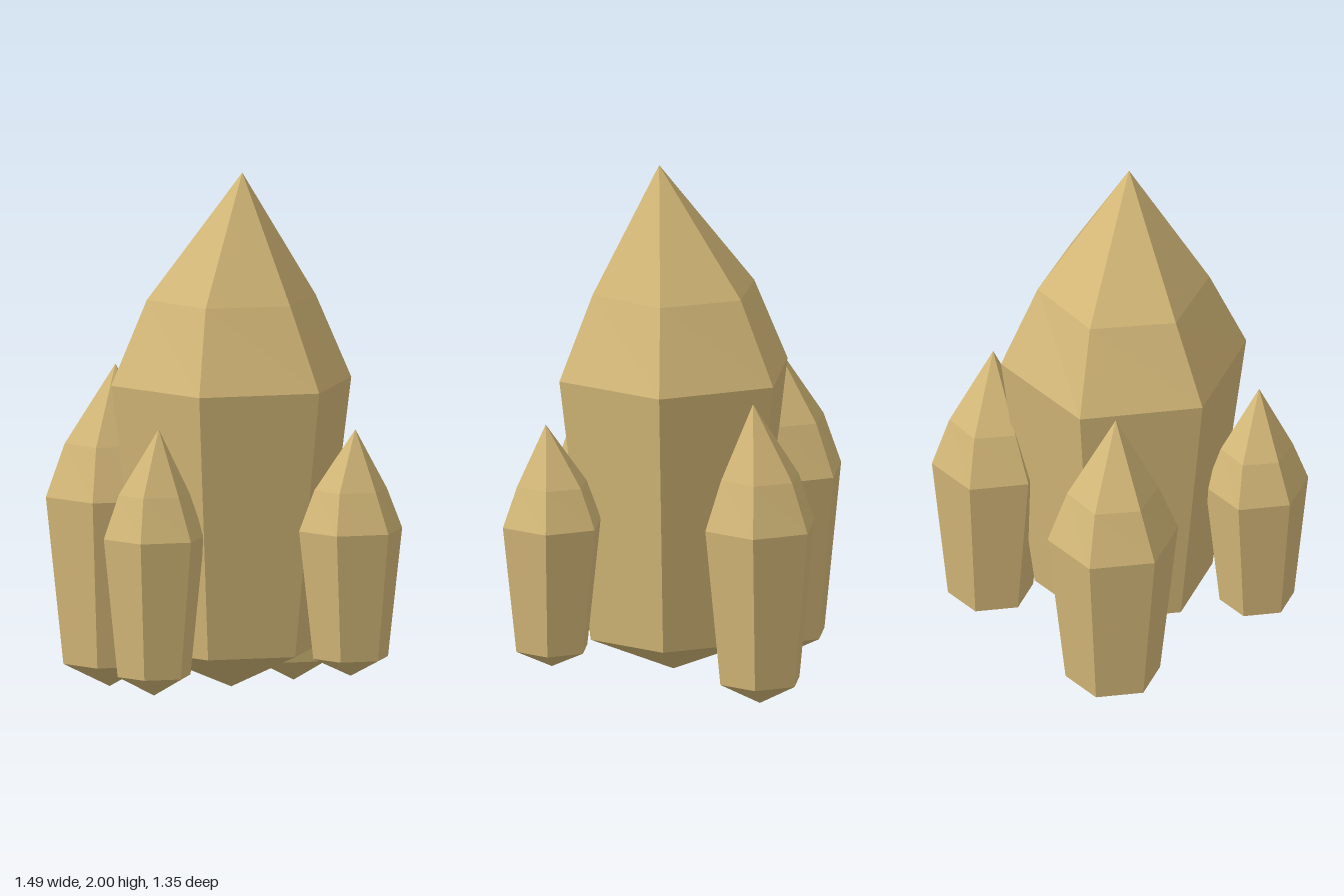
import * as THREE from 'three';

// Unit profile: radius, height (foot tip, foot ring, widest ring, shoulder ring, apex)
const PROFILE = [[0, 0], [0.725, 0.074], [1, 0.592], [0.697, 0.755], [0, 1]];
const SHOULDER = 0.755, TWIST = 0.04, LEAN = 0.125;

// Six-sided crystal with a slightly twisted shoulder and an off-centre apex
function crystalGeometry() {
  const points = PROFILE.map(([r, y]) => new THREE.Vector2(r, y));
  const geometry = new THREE.LatheGeometry(points, 6, Math.PI / 2);
  const p = geometry.attributes.position;
  for (let i = 0; i < p.count; i++) {
    const x = p.getX(i), y = p.getY(i), z = p.getZ(i);
    if (Math.abs(y - SHOULDER) < 0.001) {
      p.setX(i, x * Math.cos(TWIST) - z * Math.sin(TWIST));
      p.setZ(i, x * Math.sin(TWIST) + z * Math.cos(TWIST));
    } else if (y > 0.99) {
      p.setX(i, x + LEAN);
    }
  }
  geometry.computeVertexNormals();
  return geometry;
}

export function createModel() {
  const group = new THREE.Group();
  group.name = 'crystalCluster';
  const sand = new THREE.MeshStandardMaterial({ name: 'sandCrystal', color: 0xd4b878, flatShading: true });

  // name, x, z, foot height, apex height, widest radius
  const crystals = [
    ['mainCrystal', 0.005, 0, 0.04, 2, 0.468],
    ['rightCrystal', -0.497, 0.145, 0.005, 1.235, 0.249],
    ['frontCrystal', 0.095, 0.502, 0.065, 1.08, 0.196],
    ['leftCrystal', 0.545, -0.095, 0.125, 1.065, 0.201],
    ['backCrystal', -0.142, -0.48, 0.002, 1.165, 0.224],
  ];
  for (const [name, x, z, foot, apex, radius] of crystals) {
    const geometry = crystalGeometry().scale(radius, apex - foot, radius);
    const mesh = new THREE.Mesh(geometry, sand);
    mesh.name = name;
    mesh.position.set(x, foot, z);
    group.add(mesh);
  }
  return group;
}
